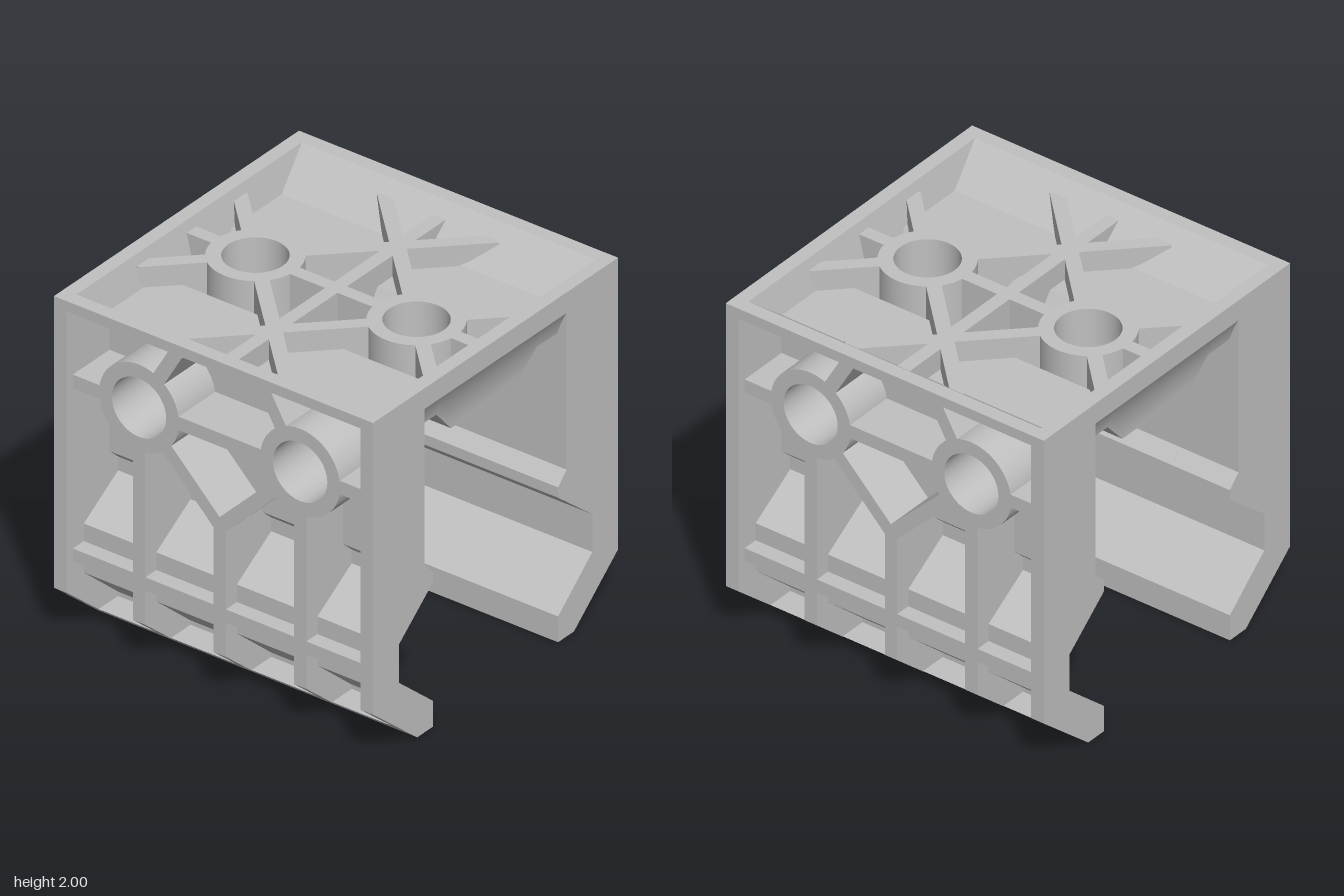
import * as THREE from 'three';
import { toCreasedNormals } from 'three/addons/utils/BufferGeometryUtils.js';

const grey = new THREE.MeshStandardMaterial({ color: 0xc0c0c0, side: THREE.DoubleSide });
grey.name = 'light grey';

const HOLE = 0.17, BOSS = 0.25, BOSS_Z = 0.505, BOSS_Y = 1.51, RIB = 0.078;
const END = 0.92; // inner face of the end frames

function add(parent, name, geometry) {
  const mesh = new THREE.Mesh(toCreasedNormals(geometry, 0.5), grey);
  mesh.name = name;
  parent.add(mesh);
  return mesh;
}

const outline = pts => new THREE.Shape(pts.map(p => new THREE.Vector2(...p)));

// Extrusion of an outline from z = z0 to z1, with round holes
function slab(shape, z0, z1, holes = []) {
  for (const [x, y] of holes) {
    shape.holes.push(new THREE.Path().absarc(x, y, HOLE, 0, Math.PI * 2, true));
  }
  return new THREE.ExtrudeGeometry(shape, { depth: z1 - z0, bevelEnabled: false, curveSegments: 48 })
    .translate(0, 0, z0);
}

const rect = (x0, y0, x1, y1) => outline([[x0, y0], [x1, y0], [x1, y1], [x0, y1]]);
const disc = (x, y) => new THREE.Shape().absarc(x, y, BOSS, 0, Math.PI * 2, false);
const ribPlate = pts => slab(outline(pts), -RIB / 2, RIB / 2);

// Surface stretched between x stations; profile(x) gives [y, z] points
function strip(stations, profile) {
  const rows = stations.map(x => profile(x).map(([y, z]) => [x, y, z]));
  const pos = [];
  for (let i = 0; i + 1 < rows.length; i++) {
    for (let j = 0; j + 1 < rows[i].length; j++) {
      const a = rows[i][j], b = rows[i + 1][j], c = rows[i + 1][j + 1], d = rows[i][j + 1];
      pos.push(...a, ...d, ...b, ...b, ...d, ...c);
    }
  }
  const g = new THREE.BufferGeometry();
  g.setAttribute('position', new THREE.Float32BufferAttribute(pos, 3));
  g.computeVertexNormals();
  return g;
}

// Piecewise linear height over |x|
function height(points, x) {
  const a = Math.abs(x);
  for (let i = 0; i + 1 < points.length; i++) {
    const [x0, y0] = points[i], [x1, y1] = points[i + 1];
    if (a <= x1) return y0 + (y1 - y0) * (a - x0) / (x1 - x0);
  }
  return points[points.length - 1][1];
}

// Inner edge of the clamp opening, from the floor to the top of the wall
const jaw = [[0.51, 0], [0.51, 0.15], [0.79, 0.39], [0.79, 0.61], [0.51, 0.84], [0.51, 0.9], [0.58, 0.97]];
const ceiling = [[0, 1.585], [0.26, 1.585], [0.41, 1.745], [0.58, 1.745]];
const roofFloor = [[0, 1.66], [0.18, 1.66], [0.29, 1.82], [0.7, 1.82], [0.92, 2]];

// One side: thin wall, jaw, corner web, bosses and ribs
function buildSide() {
  const side = new THREE.Group();
  side.name = 'side';

  add(side, 'jawWall', slab(outline([
    ...jaw, [0.65, 0.97], [0.65, 0.96], [0.58, 0.895], [0.58, 0.815], [0.86, 0.64], [0.86, 0.355],
    [0.58, 0.11], [0.58, 0.085], [0.74, 0.085], [0.64, 0],
  ]), -END, END));

  add(side, 'cornerWeb', slab(outline([
    [0.18, 1.585], ...ceiling.slice(1), [0.65, 1.755], [1, 1.94], [1, 2],
    ...roofFloor.slice(1).reverse(),
  ]), -END, END));

  const holes = [[BOSS_Z, BOSS_Y], [-BOSS_Z, BOSS_Y]];
  add(side, 'sideWall', slab(rect(-END, 0.97, END, 1.75), 0.58, 0.65, holes).rotateY(Math.PI / 2));

  // Ribs running down the jaw
  for (const [z, top] of [[BOSS_Z, 1.31], [0, 1.0], [-BOSS_Z, 1.31]]) {
    add(side, 'verticalRib', ribPlate([
      [0.62, top], [0.95, top], [0.95, 0.262], [0.74, 0.083], [0.55, 0.083], [0.55, 0.13],
      [0.83, 0.365], [0.83, 0.62], [0.55, 0.83], [0.55, 0.9], [0.62, 0.965],
    ])).position.z = z;
  }
  add(side, 'lowerRib', slab(rect(0.83, 0.462, 0.95, 0.538), -END, END));

  const bar = length => [[0.62, 0.2], [0.95, 0.2], [0.95, length], [0.62, length]];
  for (const s of [1, -1]) {
    add(side, 'sideBoss', slab(disc(-s * BOSS_Z, BOSS_Y), 0.6, 0.95, [[-s * BOSS_Z, BOSS_Y]])
      .rotateY(Math.PI / 2));
    // Spokes around each boss: angle from vertical, then profile
    const spokes = [
      [-30, [[0.62, 0.2], [0.95, 0.2], [0.95, 0.47], [0.62, 0.28]]],
      [-90, bar(BOSS_Z)],
      [90, bar(END - BOSS_Z)],
      [-135, bar(0.72)],
    ];
    for (const [angle, pts] of spokes) {
      const rib = add(side, 'sideSpoke', ribPlate(pts));
      rib.position.set(0, BOSS_Y, s * BOSS_Z);
      rib.rotation.x = s * THREE.MathUtils.degToRad(angle);
    }
  }

  // Roof rib crossing the middle
  add(side, 'crossRib', ribPlate([
    [0, 1.62], [0.22, 1.62], [0.35, 1.79], [0.66, 1.79], [0.86, 1.9], [0.86, 1.94], [0, 1.94],
  ]));
  // Stiffener under the roof, between the side holes
  add(side, 'ceilingRib', slab(outline([[0.26, 1.585], [0.58, 1.585], [0.58, 1.75], [0.41, 1.75]]), -0.04, 0.04));
  return side;
}

// One end: solid frame, curved lintel, pocket end and roof boss
function buildEnd() {
  const end = new THREE.Group();
  end.name = 'end';

  const half = [[0.58, 1.88], ...[...jaw].reverse(), [0.64, 0], [1, 0.305], [1, 2]];
  const mirrored = half.map(([x, y]) => [-x, y]).reverse();
  add(end, 'endFrame', slab(outline([...half, ...mirrored]), END, 1));

  add(end, 'curvedLintel', strip([-0.58, -0.41, -0.26, 0.26, 0.41, 0.58], x => {
    const low = height(ceiling, x), pts = [];
    for (let i = 0; i <= 12; i++) {
      const y = 1.88 + (low - 1.88) * i / 12;
      pts.push([y, END + 0.08 * ((y - 1.585) / 0.295) ** 2]);
    }
    pts.push([low, END]);
    return pts;
  }));

  add(end, 'pocketEnd', strip([-0.92, -0.7, -0.29, -0.18, 0.18, 0.29, 0.7, 0.92], x => {
    const y = height(roofFloor, x);
    return [[2, END], [y, END - (2 - y) * 0.235]];
  }));

  add(end, 'roofBoss', slab(disc(0, -BOSS_Z), 1.6, 1.94, [[0, -BOSS_Z]]).rotateX(-Math.PI / 2));

  // Spokes around the roof boss
  const d = Math.SQRT2;
  const long = [[0.2, 1.62], [0.22 * d, 1.62], [0.35 * d, 1.79], [0.66 * d, 1.79],
    [0.86 * d, 1.9], [0.86 * d, 1.94], [0.2, 1.94]];
  const short = [[0.2, 1.62], [0.22 * d, 1.62], [0.35 * d, 1.79], [0.39 * d, 1.79],
    [0.42 * d, 1.86], [0.42 * d, 1.94], [0.2, 1.94]];
  const inner = [[0.2, 1.62], [BOSS_Z, 1.62], [BOSS_Z, 1.94], [0.2, 1.94]];
  const outer = [[0.2, 1.62], [0.36, 1.62], [0.425, 1.86], [0.425, 1.94], [0.2, 1.94]];
  for (const [angle, pts] of [[45, long], [135, long], [-45, short], [-135, short], [90, inner], [-90, outer]]) {
    const rib = add(end, 'roofSpoke', ribPlate(pts));
    rib.position.z = BOSS_Z;
    rib.rotation.y = THREE.MathUtils.degToRad(angle);
  }
  return end;
}

export function createModel() {
  const model = new THREE.Group();
  model.name = 'clampBlock';

  add(model, 'roofPlate', slab(rect(-0.18, -END, 0.18, END), 1.585, 1.66, [[0, BOSS_Z], [0, -BOSS_Z]])
    .rotateX(-Math.PI / 2));

  // Both halves are the same under a half turn
  for (const [name, build] of [['Side', buildSide], ['End', buildEnd]]) {
    for (const turn of [0, 1]) {
      const part = build();
      part.name = (name === 'Side' ? ['left', 'right'] : ['front', 'back'])[turn] + name;
      part.rotation.y = turn * Math.PI;
      model.add(part);
    }
  }
  return model;
}
